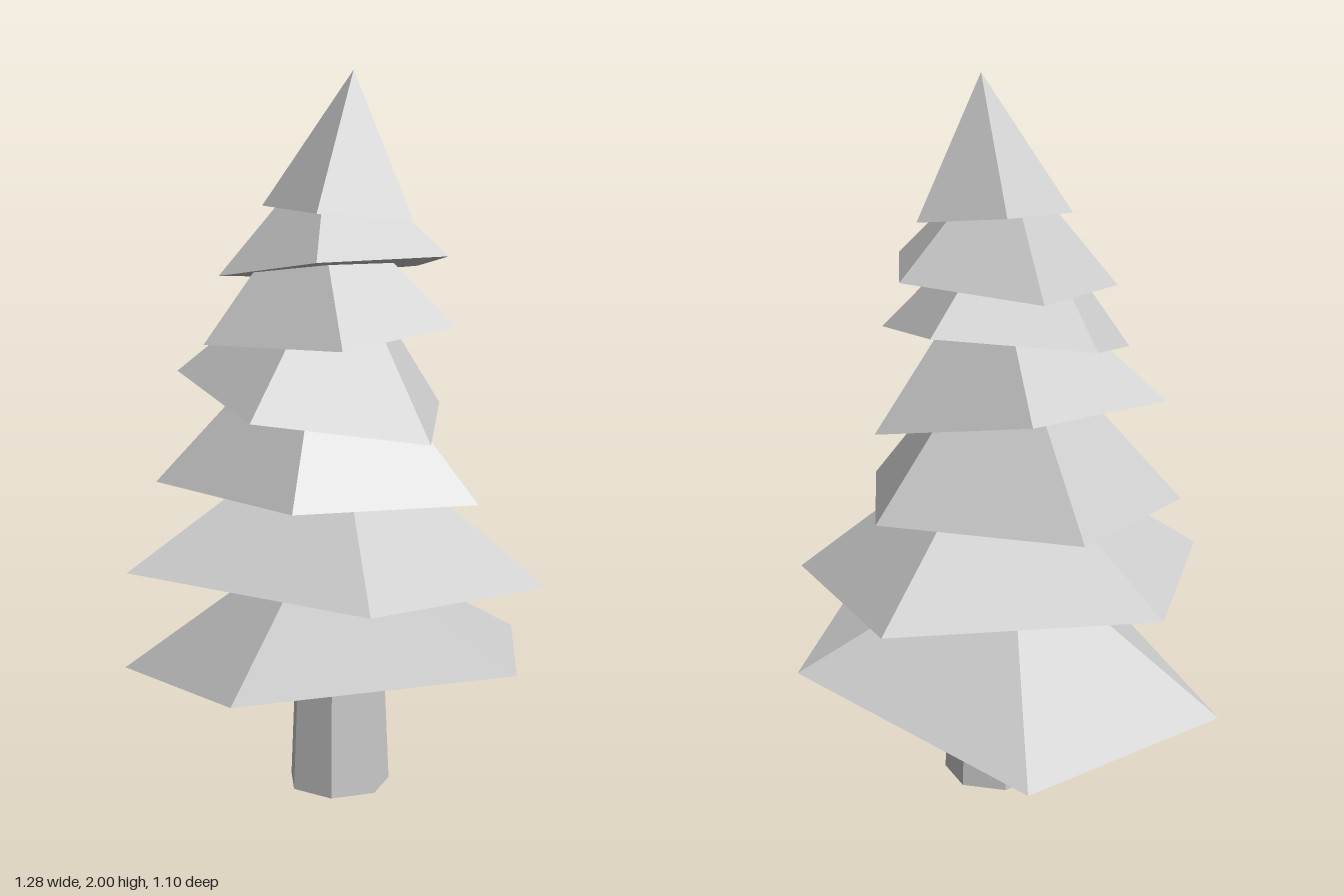
import * as THREE from 'three';

const material = new THREE.MeshStandardMaterial({ color: 0xcccccc, flatShading: true });

// One five-sided bough: a unit cone skewed onto two base radii that lie in a tilted plane.
// centre [x, y, z]; radiusA and radiusB [x, z]; slope is the rise of the base plane per unit of x and z.
function makeTier({ centre, radiusA, radiusB, slope, height }) {
  const onPlane = ([x, z]) => new THREE.Vector3(x, slope[0] * x + slope[1] * z, z);
  const axis = new THREE.Vector3(-slope[0], 1, -slope[1]).multiplyScalar(height);
  const matrix = new THREE.Matrix4()
    .makeBasis(onPlane(radiusB), axis, onPlane(radiusA))
    .setPosition(...centre);
  const geometry = new THREE.ConeGeometry(1, 1, 5).translate(0, 0.5, 0).applyMatrix4(matrix).toNonIndexed();
  geometry.computeVertexNormals();
  return new THREE.Mesh(geometry, material);
}

// Boughs from the lowest to the tip
const tiers = [
  { centre: [-0.04, 0.36, 0], radiusA: [0.675, 0], radiusB: [0, -0.578], slope: [0.1475, 0], height: 0.37 },
  { centre: [-0.057, 0.627, 0], radiusA: [-0.585, 0.055], radiusB: [-0.034, 0.558], slope: [-0.051, 0.038], height: 0.44 },
  { centre: [-0.089, 0.859, 0], radiusA: [-0.452, -0.126], radiusB: [-0.185, 0.405], slope: [-0.029, 0], height: 0.53 },
  { centre: [-0.102, 1.103, 0], radiusA: [0.437, 0], radiusB: [0, -0.384], slope: [-0.201, 0], height: 0.45 },
  { centre: [-0.061, 1.303, 0.009], radiusA: [-0.351, 0.013], radiusB: [-0.042, 0.325], slope: [-0.057, -0.142], height: 0.4 },
  { centre: [-0.022, 1.473, 0], radiusA: [-0.312, -0.091], radiusB: [-0.133, 0.28], slope: [0.1, 0], height: 0.34 },
  { centre: [0.006, 1.625, 0], radiusA: [-0.203, -0.101], radiusB: [-0.122, 0.18], slope: [-0.1, 0], height: 0.375 },
];

export function createModel() {
  const tree = new THREE.Group();
  tree.name = 'pineTree';

  // Seven-sided tapered trunk
  const trunk = new THREE.Mesh(
    new THREE.CylinderGeometry(0.123, 0.147, 0.55, 7, 1, false, Math.PI / 2),
    material,
  );
  trunk.name = 'trunk';
  trunk.position.set(-0.017, 0.275, 0);
  tree.add(trunk);

  // Stacked boughs
  const foliage = new THREE.Group();
  foliage.name = 'foliage';
  tiers.forEach((tier, i) => {
    const bough = makeTier(tier);
    bough.name = `boughTier${i + 1}`;
    foliage.add(bough);
  });
  tree.add(foliage);

  return tree;
}
